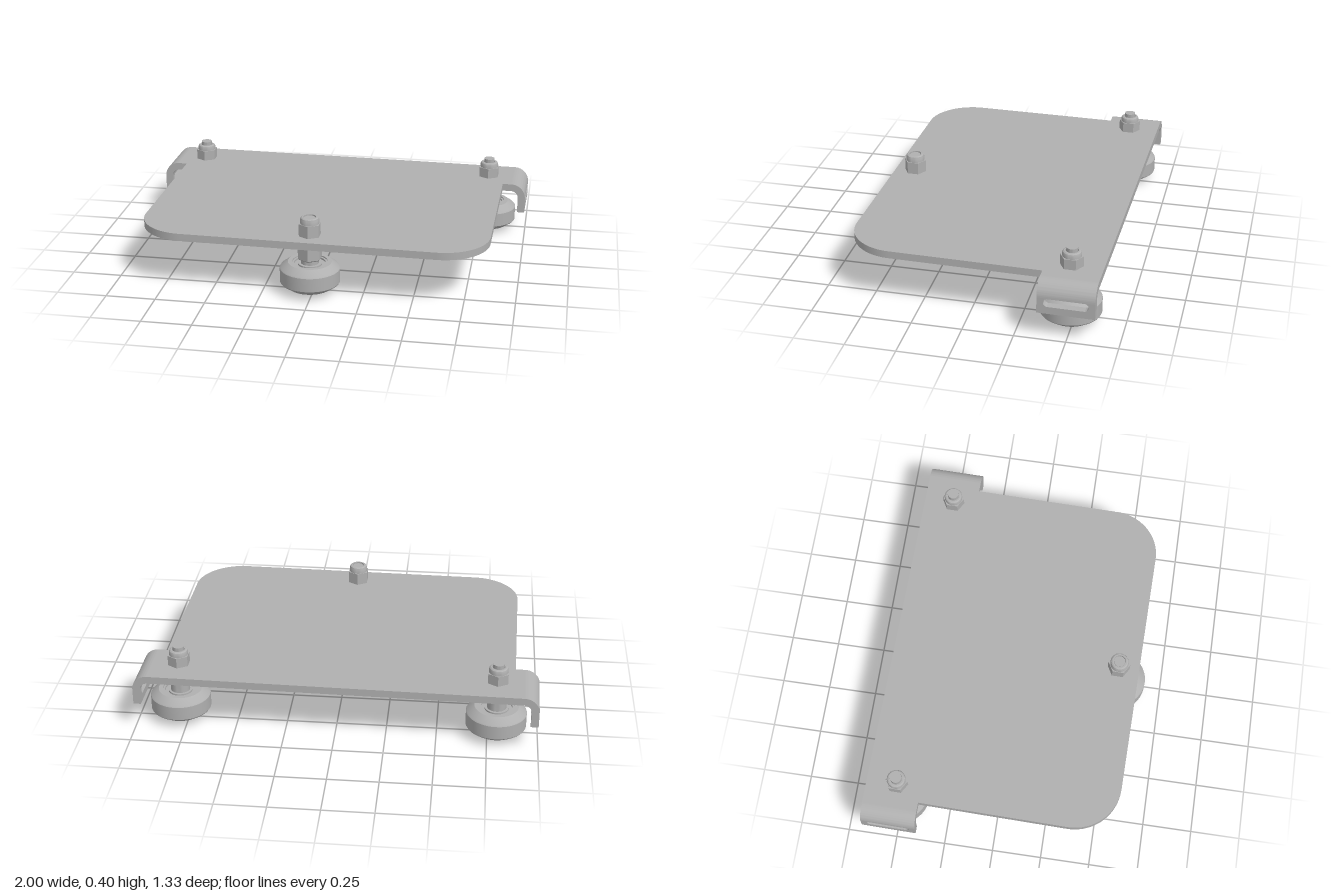
import * as THREE from 'three';
import { toCreasedNormals } from 'three/addons/utils/BufferGeometryUtils.js';

const steel = new THREE.MeshStandardMaterial({ color: 0xb0b0b0 });
steel.name = 'grey metal';

const TOP = 0.297, THICK = 0.038, BOTTOM = TOP - THICK;
const HALF = 0.998, BEND = 0.075, BACK = -0.6525, EAR = 0.2775;

function part(name, geometry) {
  const mesh = new THREE.Mesh(toCreasedNormals(geometry, 0.45), steel);
  mesh.name = name;
  return mesh;
}

function lathe(name, profile, segments = 48) {
  return part(name, new THREE.LatheGeometry(profile.map(([r, y]) => new THREE.Vector2(r, y)), segments));
}

function cylinder(name, radius, y0, y1, sides = 32) {
  const g = new THREE.CylinderGeometry(radius, radius, y1 - y0, sides);
  g.translate(0, (y0 + y1) / 2, 0);
  return part(name, g);
}

const extrude = (shape, depth) =>
  new THREE.ExtrudeGeometry(shape, { depth, bevelEnabled: false, curveSegments: 16 });

// Flat plate: wide strip at the back, rounded corners at the front
function makePlate() {
  const w = 0.877, wide = HALF - BEND, front = -0.62, r = 0.24;
  const s = new THREE.Shape();
  s.moveTo(-wide, -BACK);
  s.lineTo(-wide, -BACK - EAR);
  s.lineTo(-w, -BACK - EAR);
  s.lineTo(-w, front + r);
  s.absarc(-w + r, front + r, r, Math.PI, Math.PI * 1.5, false);
  s.absarc(w - r, front + r, r, Math.PI * 1.5, Math.PI * 2, false);
  s.lineTo(w, -BACK - EAR);
  s.lineTo(wide, -BACK - EAR);
  s.lineTo(wide, -BACK);
  s.closePath();
  const g = extrude(s, THICK);
  g.rotateX(-Math.PI / 2);
  g.translate(0, BOTTOM, 0);
  return part('plate', g);
}

// Folded ear: quarter bend plus a slotted vertical flange
function makeEar() {
  const ear = new THREE.Group();
  const cx = HALF - BEND, cy = TOP - BEND;
  const bend = new THREE.Shape();
  bend.absarc(cx, cy, BEND, 0, Math.PI / 2, false);
  bend.absarc(cx, cy, BEND - THICK, Math.PI / 2, 0, true);
  bend.closePath();
  const bg = extrude(bend, EAR);
  bg.translate(0, 0, -EAR / 2);

  const h = EAR / 2, low = 0.14;
  const flange = new THREE.Shape([
    new THREE.Vector2(-h, low), new THREE.Vector2(h, low),
    new THREE.Vector2(h, cy), new THREE.Vector2(-h, cy)
  ]);
  const slot = new THREE.Path(), sr = 0.021, half = 0.087, sy = 0.198;
  slot.absarc(half, sy, sr, -Math.PI / 2, Math.PI / 2, false);
  slot.absarc(-half, sy, sr, Math.PI / 2, Math.PI * 1.5, false);
  slot.closePath();
  flange.holes.push(slot);
  const fg = extrude(flange, THICK);
  fg.rotateY(Math.PI / 2);
  fg.translate(HALF - THICK, 0, 0);

  ear.add(part('bend', bg), part('slottedFlange', fg));
  ear.position.z = BACK + EAR / 2;
  return ear;
}

// Hexagonal nut with a rounded locking collar
function makeLockNut(hexTop, collarTop) {
  const nut = new THREE.Group();
  nut.add(cylinder('nutHex', 0.057, TOP, hexTop, 6));
  nut.add(lathe('nutCollar', [
    [0.047, hexTop - 0.005], [0.047, collarTop - 0.012], [0.044, collarTop - 0.004],
    [0.038, collarTop], [0.031, collarTop], [0.031, collarTop - 0.012], [0, collarTop - 0.012]
  ], 32));
  nut.name = 'lockNut';
  return nut;
}

// Roller with stepped bearing faces on its axle bolt
function makeRoller(isFront) {
  const g = new THREE.Group();
  const lower = [
    [0.02, 0.03], [0.06, 0.03], [0.06, 0.038], [0.078, 0.038], [0.078, 0.029],
    [0.088, 0.029], [0.088, 0.023], [0.109, 0.023], [0.146, 0.049], [0.15, 0.055]
  ];
  const upper = lower.map(([r, y]) => [r, 0.18 - y]).reverse();
  g.add(lathe('wheel', [...lower, ...upper], 64));

  // Bolt head with a drive recess, and the shaft
  g.add(lathe('boltHead', [
    [0, 0.012], [0.018, 0.012], [0.018, 0], [0.042, 0], [0.05, 0.005],
    [0.053, 0.012], [0.053, 0.019], [0.04, 0.019], [0.04, 0.032], [0, 0.032]
  ], 32));
  g.add(cylinder('boltShaft', 0.028, 0.03, isFront ? 0.388 : 0.395));

  if (isFront) {
    g.add(cylinder('lowerWasher', 0.045, 0.145, 0.175));
    g.add(lathe('hexSpacer', [
      [0, 0.17], [0.054, 0.17], [0.063, 0.177], [0.063, 0.243], [0.054, 0.25], [0, 0.25]
    ], 6));
    g.add(cylinder('spacerNeck', 0.048, 0.25, BOTTOM));
    g.add(makeLockNut(0.36, 0.393));
  } else {
    g.add(cylinder('spacer', 0.048, 0.145, 0.248));
    g.add(cylinder('upperWasher', 0.033, 0.248, BOTTOM));
    g.add(makeLockNut(0.35, 0.377));
  }
  return g;
}

export function createModel() {
  const model = new THREE.Group();
  model.name = 'rollerPlate';
  const body = new THREE.Group();
  body.name = 'carriage';
  body.add(makePlate());

  // Mirrored ears and rear rollers
  for (const side of [1, -1]) {
    const label = side > 0 ? 'left' : 'right';
    const ear = makeEar();
    ear.name = label + 'Ear';
    if (side < 0) ear.rotation.y = Math.PI;
    const roller = makeRoller(false);
    roller.name = label + 'RearRoller';
    roller.position.set(side * 0.792, 0, -0.498);
    body.add(ear, roller);
  }

  const front = makeRoller(true);
  front.name = 'frontRoller';
  front.position.z = 0.513;
  body.add(front);

  // The whole carriage sits turned by one degree
  body.position.x = -0.009;
  body.rotation.y = -0.0175;
  model.add(body);
  return model;
}
